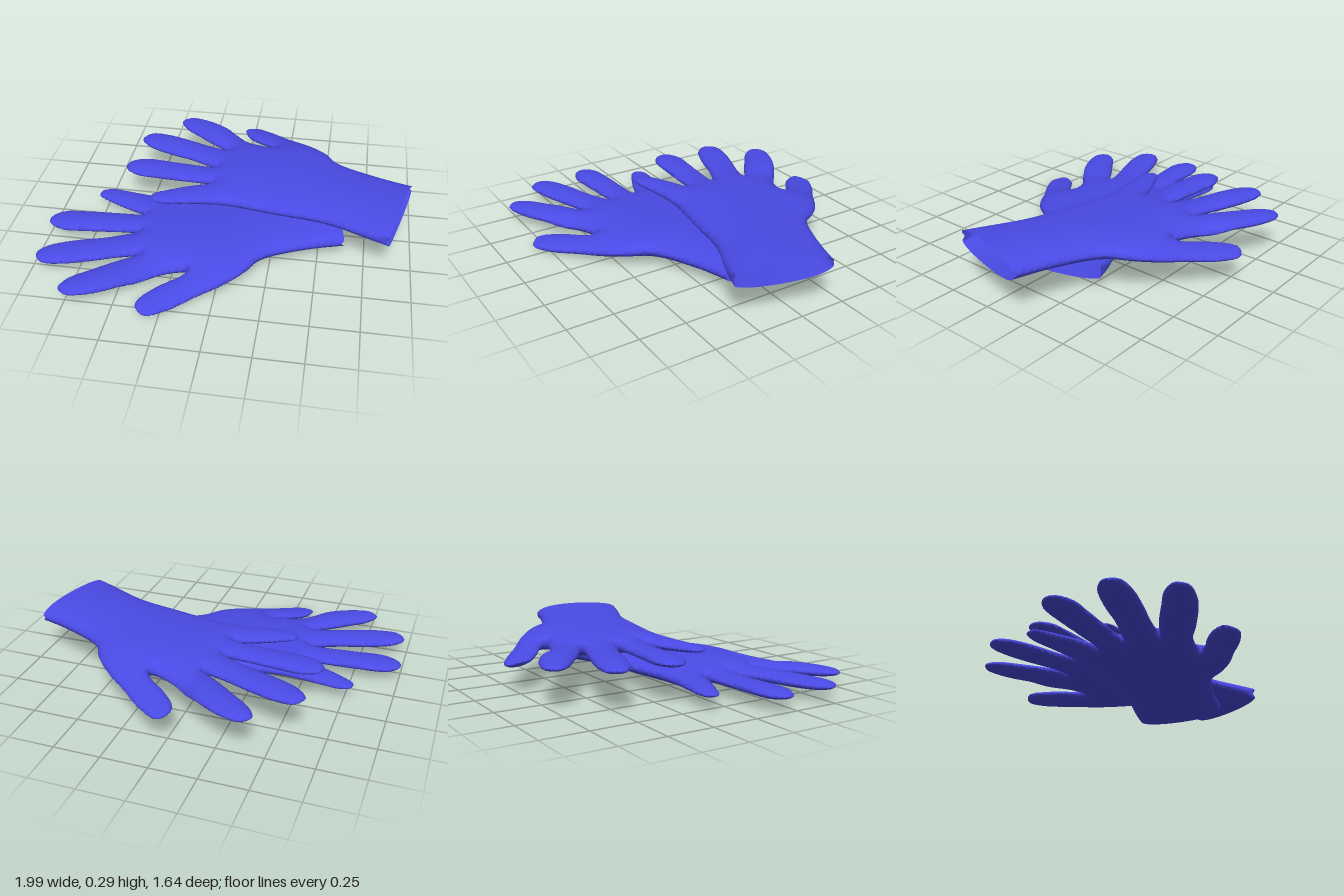
import * as THREE from 'three';
import { mergeVertices } from 'three/addons/utils/BufferGeometryUtils.js';

const H = 0.0125;            // grid step
const L = 0.13;              // width at which the inflated thickness levels off
const X0 = -0.7, Z0 = -0.86, NX = 172, NZ = 110;
const { smoothstep, lerp } = THREE.MathUtils;

// Glove outline (x, z): cuff, thumb, index, middle, ring, little finger, cuff
const outline = [
  [[1.38, -0.08], [0.99, -0.19], [0.78, -0.26], [0.565, -0.37], [0.5, -0.47], [0.4, -0.57], [0.27, -0.665]],
  [[0.136, -0.77], [0.03, -0.818], [-0.025, -0.77], [0, -0.69], [0.085, -0.61], [0.17, -0.55], [0.195, -0.51]],
  [[0.135, -0.52], [0.03, -0.565], [-0.05, -0.63], [-0.16, -0.71], [-0.265, -0.765], [-0.38, -0.79],
    [-0.43, -0.745], [-0.4, -0.675], [-0.29, -0.585], [-0.185, -0.505], [-0.09, -0.445], [-0.055, -0.425]],
  [[-0.185, -0.46], [-0.345, -0.52], [-0.48, -0.56], [-0.585, -0.565], [-0.63, -0.5], [-0.585, -0.435],
    [-0.45, -0.37], [-0.29, -0.32], [-0.185, -0.275], [-0.105, -0.24]],
  [[-0.24, -0.25], [-0.4, -0.265], [-0.56, -0.275], [-0.645, -0.23], [-0.65, -0.175], [-0.585, -0.12],
    [-0.45, -0.105], [-0.29, -0.095], [-0.12, -0.085]],
  [[-0.24, -0.04], [-0.37, 0.02], [-0.44, 0.065], [-0.435, 0.115], [-0.37, 0.135], [-0.265, 0.12], [-0.13, 0.1],
    [0, 0.095], [0.135, 0.115], [0.3, 0.145], [0.485, 0.175], [0.58, 0.205], [0.7, 0.26], [0.86, 0.335], [1.25, 0.45]],
].flat();

// Distance inside the wrist opening's plane
const cuffDistance = (x, z) => (0.86 - x) * 0.97 + (0.335 - z) * 0.24;

// Signed distance to the outline, positive inside
function signedDistance(pts, x, z) {
  let best = Infinity, inside = false;
  for (let i = 0, j = pts.length - 1; i < pts.length; j = i++) {
    const a = pts[j], b = pts[i], dx = b.x - a.x, dz = b.z - a.z;
    const t = Math.min(1, Math.max(0, ((x - a.x) * dx + (z - a.z) * dz) / (dx * dx + dz * dz || 1)));
    best = Math.min(best, Math.hypot(x - a.x - t * dx, z - a.z - t * dz));
    if ((a.z > z) !== (b.z > z) && x < a.x + (z - a.z) / dz * dx) inside = !inside;
  }
  return inside ? best : -best;
}

// Grid nodes with an inflation value v: 0 on the outline, rising smoothly inside
function inflate() {
  const curve = new THREE.CatmullRomCurve3(outline.map(([x, z]) => new THREE.Vector3(x, 0, z)), true, 'centripetal');
  const pts = curve.getPoints(360).slice(0, -1);
  const nodes = [];
  for (let j = 0; j < NZ; j++) for (let i = 0; i < NX; i++) {
    const x = X0 + i * H, z = Z0 + j * H;
    nodes.push({ x, z, s: signedDistance(pts, x, z), c: cuffDistance(x, z), v: 0 });
  }
  const k = (H / L) ** 2, steps = [1, -1, NX, -NX];
  for (let n = 0; n < 350; n++) nodes.forEach((p, id) => {
    if (p.s <= 0) return;
    let sum = k, weight = 4 + k;
    for (const d of steps) {
      const q = nodes[id + d];
      if (!q) continue;
      if (q.s > 0) sum += q.v;
      else weight += Math.min(20, -q.s / p.s);
    }
    p.v = sum / weight;
  });
  return nodes;
}

const field = p => Math.min(p.s, p.c);

// Point where the edge from a to b crosses the outline or the cuff
function crossing(a, b) {
  if (field(a) < field(b)) [a, b] = [b, a];
  const t = field(a) / (field(a) - field(b));
  const p = {};
  for (const key of ['x', 'z', 's', 'c', 'v']) p[key] = lerp(a[key], b[key], t);
  if (p.s < H * 0.05) { p.s = 0; p.v = 0; }
  return p;
}

// Place a flat point on the back (side 1) or palm (side -1) of the glove
function place(p, side, mirror) {
  const half = 0.077 * (0.91 + 0.09 * smoothstep(p.x, 0.2, 0.8)) * Math.sqrt(Math.max(0, p.v));
  const thumb = smoothstep(-p.z, 0.38, 0.85) * smoothstep(p.x, -0.15, 0.03);
  const y = 0.206 + 0.017 * smoothstep(p.x, 0, 0.9) - 0.06 * thumb;
  // Side seam folds inward at the cuff
  const rim = p.z > 0.05 && p.x > 0.5 ? Math.exp(-Math.max(0, p.c) / 0.06) : 0;
  const fold = rim * (0.055 * Math.exp(-p.s / 0.02) - 0.02 * Math.exp(-p.s / 0.08));
  return [p.x + 0.24 * fold, y + side * half, (p.z - 0.97 * fold) * mirror];
}

// Skin of one glove: both faces of every clipped grid cell, open at the cuff
function gloveGeometry(nodes, mirror) {
  const positions = [];
  for (let j = 0; j < NZ - 1; j++) for (let i = 0; i < NX - 1; i++) {
    const id = j * NX + i;
    const cell = [nodes[id], nodes[id + 1], nodes[id + NX + 1], nodes[id + NX]];
    const poly = [];
    cell.forEach((a, n) => {
      const b = cell[(n + 1) % 4];
      if (field(a) > 0) poly.push(a);
      if ((field(a) > 0) !== (field(b) > 0)) poly.push(crossing(a, b));
    });
    for (const side of [1, -1]) {
      const corners = poly.map(p => place(p, side, mirror));
      if (side * mirror > 0) corners.reverse();
      for (let n = 1; n < corners.length - 1; n++) positions.push(...corners[0], ...corners[n], ...corners[n + 1]);
    }
  }
  const soup = new THREE.BufferGeometry();
  soup.setAttribute('position', new THREE.Float32BufferAttribute(positions, 3));
  const geometry = mergeVertices(soup, 1e-5);
  geometry.computeVertexNormals();
  return geometry;
}

export function createModel() {
  const group = new THREE.Group();
  group.name = 'gloves';
  const material = new THREE.MeshStandardMaterial({ color: 0x4a4ae6, side: THREE.DoubleSide });
  const nodes = inflate();

  const upper = new THREE.Mesh(gloveGeometry(nodes, 1), material);
  upper.name = 'upperGlove';

  // Mirrored partner lying underneath
  const lower = new THREE.Mesh(gloveGeometry(nodes, -1), material);
  lower.name = 'lowerGlove';
  lower.position.set(-0.35, -0.138, 0);

  group.add(upper, lower);
  return group;
}
